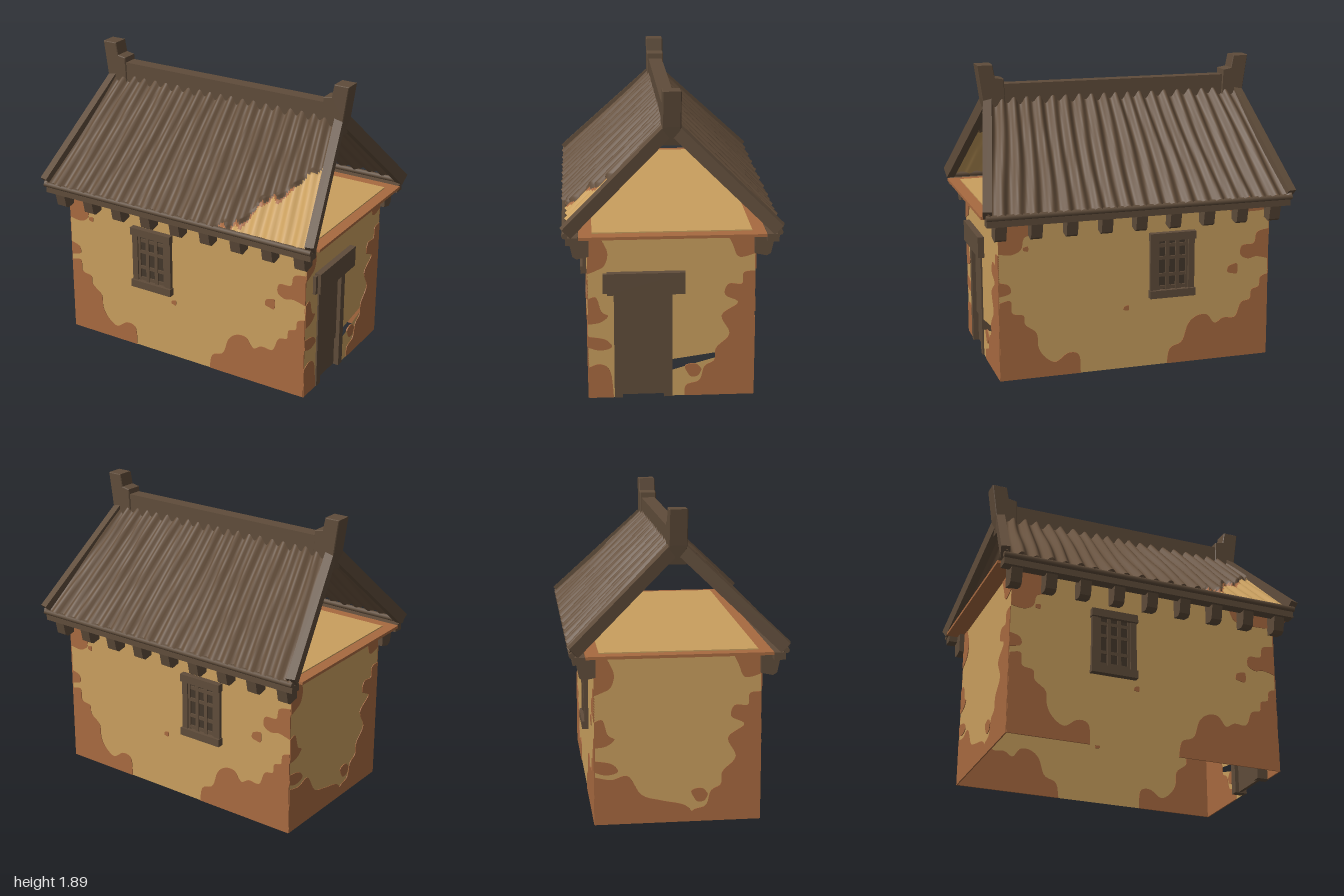
import * as THREE from 'three';

const mat = (name, color, side = THREE.FrontSide) => {
  const m = new THREE.MeshStandardMaterial({ color, side });
  m.name = name;
  return m;
};
const plaster = mat('plaster', 0xc99f5e, THREE.DoubleSide);
const clay = mat('bare clay', 0xa86a40, THREE.DoubleSide);
const roofWood = mat('roof wood', 0x66503c, THREE.DoubleSide);
const timber = mat('timber', 0x5f4c3a);
const darkWood = mat('dark wood', 0x43372b);

const V = (x, y, z) => new THREE.Vector3(x, y, z);

function add(parent, name, geometry, material) {
  const m = new THREE.Mesh(geometry, material);
  m.name = name;
  parent.add(m);
  return m;
}
// box given by its limits
function block(parent, name, x0, x1, y0, y1, z0, z1, material = timber) {
  const m = add(parent, name, new THREE.BoxGeometry(x1 - x0, y1 - y0, z1 - z0), material);
  m.position.set((x0 + x1) / 2, (y0 + y1) / 2, (z0 + z1) / 2);
  return m;
}
const shapeOf = pts => new THREE.Shape(pts.map(p => new THREE.Vector2(...p)));

// thin clay plate: a wavy edge through the points, closed by straight corners
function patch(wall, pts, corners = []) {
  const s = new THREE.Shape();
  s.moveTo(...pts[0]);
  s.splineThru(pts.slice(1).map(p => new THREE.Vector2(...p)));
  corners.forEach(c => s.lineTo(...c));
  const g = new THREE.ExtrudeGeometry(s, { depth: 0.008, bevelEnabled: false, curveSegments: 4 });
  add(wall, 'clayPatch', g.translate(0, 0, -0.004), clay);
}
function blob(wall, x, y, r) {
  const pts = [];
  for (let i = 0; i <= 7; i++) {
    const a = i / 7 * Math.PI * 2, k = r * (1 + 0.2 * Math.sin((i % 7) * 2.3 + x * 9));
    pts.push([x + k * Math.cos(a), y + k * Math.sin(a)]);
  }
  patch(wall, pts);
}

const W = 0.88, D = 0.5, H = 1.05;

function longWall(name) {
  const w = new THREE.Group();
  w.name = name;
  add(w, 'plasterWall', new THREE.ShapeGeometry(shapeOf([[-W, 0], [W, 0], [W, H], [-W, H]])), plaster);
  patch(w, [[-.37, 0], [-.38, .12], [-.45, .14], [-.53, .09], [-.6, .13], [-.64, .2], [-.65, .29], [-.72, .35],
    [-.73, .41], [-.8, .43], [-.81, .51], [-W, .5]], [[-W, 0]]);
  patch(w, [[-W, .81], [-.8, .8], [-.74, .83], [-.72, .9], [-.66, .93], [-.6, H]], [[-W, H]]);
  patch(w, [[-W, .63], [-.82, .61], [-.81, .56], [-W, .54]]);
  patch(w, [[.2, 0], [.22, .1], [.3, .14], [.34, .25], [.4, .3], [.47, .3], [.52, .24], [.58, .27], [.66, .27],
    [.7, .36], [.76, .38], [.77, .44], [.82, .46], [.83, .52], [W, .54]], [[W, 0]]);
  patch(w, [[W, .64], [.8, .66], [.74, .65], [.69, .68], [.7, .74], [.78, .75], [.8, .82], [W, .84]]);
  patch(w, [[.57, H], [.62, .97], [.78, .96], [W, .97]], [[W, H]]);
  [[.64, .59, .036], [-.07, .395, .018], [-.71, .83, .017]].forEach(b => blob(w, ...b));
  return w;
}

function endWall(name, door) {
  const w = new THREE.Group();
  w.name = name;
  // the door end has a doorway and a long crack running to the back corner
  const outline = door
    ? [[-D, 0], [-.34, 0], [-.34, .7], [0, .7], [0, .24], [.495, .31], [0, .17], [0, 0], [D, 0], [D, H], [-D, H]]
    : [[-D, 0], [D, 0], [D, H], [-D, H]];
  add(w, 'plasterWall', new THREE.ShapeGeometry(shapeOf(outline)), plaster);
  patch(w, [[-D, .8], [-.45, .82], [-.4, .85], [-.38, .93], [-.42, 1.02], [-.44, H]], [[-D, H]]);
  patch(w, [[-D, .64], [-.45, .65], [-.42, .56], [-.38, .53], [-.43, .49], [-D, .48]]);
  patch(w, [[-D, .4], [-.4, .38], [-.36, .33], [-.43, .31], [-D, .33]]);
  patch(w, [[-D, .2], [-.43, .22], [-.37, .17], [-.35, 0]], [[-D, 0]]);
  patch(w, [[.08, 0], [.09, .07], [.17, .1], [.2, .19], [.26, .23], [.27, .31], [.35, .4], [.3, .52], [.4, .6],
    [.32, .65], [.34, .72], [.42, .72], [.43, .79], [D, .8]], [[D, 0]]);
  patch(w, [[D, .91], [.4, .89], [.36, .97], [.32, H]], [[D, H]]);
  blob(w, .13, .17, .045);
  if (!door) patch(w, [[-D, .3], [-.4, .28], [-.3, .3], [-.22, .18], [-.1, .14], [.05, .1], [.12, 0]], [[-D, 0]]);
  return w;
}

// barred window centred on x = 0, facing +z
function makeWindow(name) {
  const g = new THREE.Group();
  g.name = name;
  block(g, 'windowBack', -.13, .13, .47, .85, -.015, .008, darkWood);
  block(g, 'windowLintel', -.15, .15, .82, .87, -.02, .04);
  block(g, 'windowSill', -.15, .15, .45, .5, -.02, .04);
  for (const s of [-1, 1]) {
    block(g, 'windowPost', s * .125 - .02, s * .125 + .02, .5, .82, -.02, .025);
    block(g, 'innerFrame', s * .095 - .008, s * .095 + .008, .5, .82, 0, .018);
    block(g, 'uprightBar', s * .033 - .012, s * .033 + .012, .5, .82, 0, .02);
  }
  for (const y of [.515, .595, .705, .785]) block(g, 'crossBar', -.1, .1, y - .011, y + .011, 0, .016);
  return g;
}

// lower edge of the intact roof cover, as height over x
const tear = [[.28, 1.0], [.31, 1.09], [.45, 1.12], [.52, 1.18], [.55, 1.26], [.68, 1.3], [.74, 1.38], [.83, 1.45], [1, 1.47]];
function tearHeight(x) {
  for (let i = 1; i < tear.length; i++) {
    const [a, b] = [tear[i - 1], tear[i]];
    if (x >= a[0] && x < b[0]) return a[1] + (b[1] - a[1]) * (x - a[0]) / (b[0] - a[0]) + 0.015 * Math.sin(x * 75);
  }
  return 0;
}

// ribbed slope that widens towards the eave; ribs are a wave across the sheet
function roofSlope(parent, name, side, torn) {
  const nu = 168, nv = 60, waves = 20, pos = [], idx = [[], [], []];
  for (let j = 0; j <= nv; j++) for (let i = 0; i <= nu; i++) {
    const u = i / nu * 2 - 1, v = j / nv;
    const x = u * (.82 + .15 * v), y = 1.68 - .6 * v;
    const wave = Math.cos(u * Math.PI * waves + .5 * Math.sin(v * 5 + u * 7));
    let lift = .016 * wave + .004 * Math.sin(u * 31 + v * 4);
    if (torn && y < tearHeight(x)) lift = lift * .6 - .014;
    pos.push(x, y + lift * .7, side * (.03 + .61 * v + lift * .7));
  }
  for (let j = 0; j < nv; j++) for (let i = 0; i < nu; i++) {
    const a = j * (nu + 1) + i, b = a + 1, c = a + nu + 1, d = c + 1;
    const gap = torn ? tearHeight(pos[a * 3]) - pos[a * 3 + 1] : -1;
    const k = gap < 0 ? 0 : gap < .025 && pos[a * 3] < .72 ? 2 : 1;
    idx[k].push(...(side > 0 ? [a, c, b, b, c, d] : [a, b, c, b, d, c]));
  }
  const g = new THREE.BufferGeometry();
  g.setAttribute('position', new THREE.Float32BufferAttribute(pos, 3));
  g.setIndex(idx.flat());
  let start = 0;
  idx.forEach((list, k) => { g.addGroup(start, list.length, k); start += list.length; });
  g.computeVertexNormals();
  add(parent, name, g, [roofWood, plaster, clay]);
}

// square beam between two points
function beam(parent, name, a, b, w, h) {
  const m = add(parent, name, new THREE.BoxGeometry(w, h, a.distanceTo(b)), timber);
  m.position.copy(a).add(b).multiplyScalar(.5);
  m.lookAt(b);
}

export function createModel() {
  const house = new THREE.Group();
  house.name = 'house';

  // walls
  const walls = [[longWall('frontWall'), 0, D, 0], [longWall('backWall'), 0, -D, Math.PI],
    [endWall('doorWall', true), W, 0, Math.PI / 2], [endWall('plainWall', false), -W, 0, -Math.PI / 2]];
  for (const [w, x, z, r] of walls) {
    w.position.set(x, 0, z);
    w.rotation.y = r;
    house.add(w);
  }

  // windows, front and back
  for (const s of [1, -1]) {
    const win = makeWindow(s > 0 ? 'frontWindow' : 'backWindow');
    win.position.set(-.225, 0, s * D);
    if (s < 0) win.rotation.y = Math.PI;
    house.add(win);
  }

  // door
  block(house, 'doorPanel', .84, .865, .2, .7, .04, .3);
  block(house, 'doorFoot', .835, .855, .005, .21, .04, .3);
  block(house, 'doorPost', .81, .89, 0, .69, .295, .345);
  block(house, 'doorPost', .81, .89, 0, .69, -.005, .045);
  block(house, 'doorLintel', .82, .92, .675, .81, -.08, .385);
  block(house, 'lintelEnd', .82, .9, .68, .8, .38, .41);

  // loft floor
  block(house, 'loftFloor', -.99, .99, 1.045, 1.063, -.55, .55, clay);
  block(house, 'loftPlaster', -.92, .92, 1.063, 1.07, -.47, .47, plaster);

  // roof slopes, eaves, rafter ends and edge beams
  const rafter = shapeOf([[.49, 1.05], [.49, .92], [.56, .905], [.585, .92], [.61, 1.04]]);
  for (const s of [1, -1]) {
    roofSlope(house, s > 0 ? 'frontRoof' : 'backRoof', s, s > 0);
    block(house, 'eaveBeam', -.97, .97, 1.01, 1.055, s * .59 - .035, s * .59 + .035);
    const lip = add(house, 'eaveLip', new THREE.CylinderGeometry(.018, .018, 1.95, 8), timber);
    lip.rotation.z = Math.PI / 2;
    lip.position.set(0, 1.068, s * .628);
    for (let i = 0; i < 9; i++) {
      const g = new THREE.ExtrudeGeometry(rafter, { depth: .07, bevelEnabled: false });
      const r = add(house, 'rafterEnd', g.translate(0, 0, -.035), timber);
      r.rotation.y = -s * Math.PI / 2;
      r.position.x = -.88 + i * .22;
    }
    for (const e of [1, -1])
      beam(house, 'edgeBeam', V(e * .825, 1.66, s * .02), V(e * .965, 1.085, s * .625), .055, .075);
  }

  // ridge with raised ends
  block(house, 'ridgeBeam', -.8, .8, 1.6, 1.77, -.045, .045);
  const horn = shapeOf([[.72, 1.58], [.84, 1.57], [.86, 1.68], [.89, 1.89], [.8, 1.89], [.785, 1.81], [.73, 1.8]]);
  for (const s of [1, -1]) {
    const g = new THREE.ExtrudeGeometry(horn, { depth: .1, bevelEnabled: true, bevelSize: .004, bevelThickness: .005, bevelSegments: 1 });
    const m = add(house, 'ridgeHorn', g.translate(0, 0, -.05), timber);
    if (s < 0) m.rotation.y = Math.PI;
  }
  return house;
}
